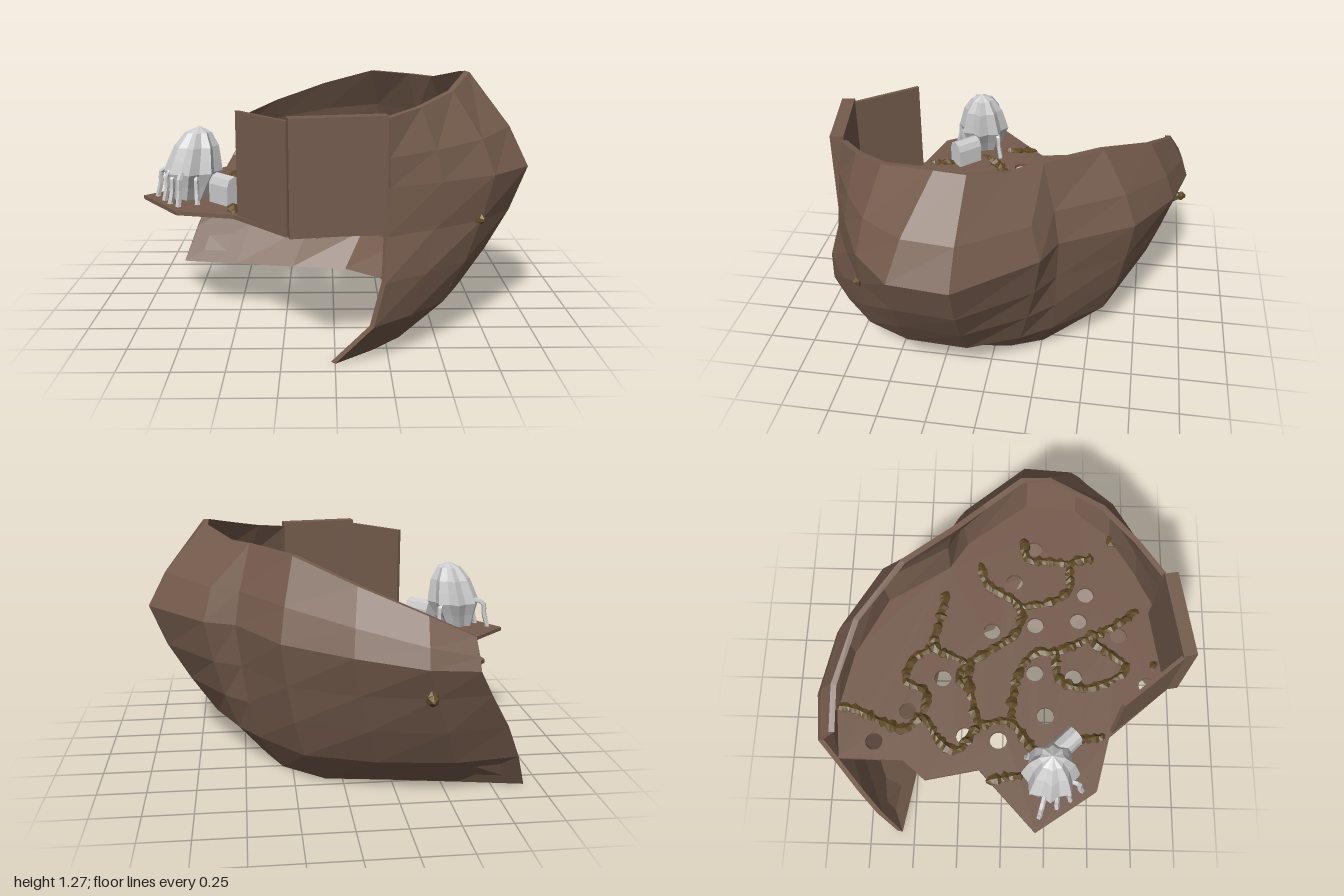
import * as THREE from 'three';

const material = (color) => new THREE.MeshStandardMaterial({ color, flatShading: true, side: THREE.DoubleSide });
const rock = material(0x755c4d), root = material(0x5e4822), grey = material(0xcccccc);

function add(parent, name, geometry, mat) {
  const mesh = new THREE.Mesh(geometry, mat);
  mesh.name = name;
  parent.add(mesh);
  return mesh;
}

// One wall rib as 7 points [x, z, y]: foot to belly to rim, with an extra sideways bulge below the belly.
function rib(foot, belly, rim, bulge = [0, 0]) {
  const spread = [0, .42, .65, .85], swell = [0, 1, .9, .3];
  const mix = (a, b, t) => a + (b - a) * t;
  const lower = spread.map((t, j) => [
    mix(foot[0], belly[0], t) + bulge[0] * swell[j], mix(foot[1], belly[1], t) + bulge[1] * swell[j], j * .2]);
  const shoulder = [mix(belly[0], rim[0], .32), mix(belly[1], rim[1], .32), mix(belly[2], rim[2], .43)];
  return [...lower, belly, shoulder, rim];
}

// Ribs from the back left end, round the right, to the front end.
const columns = [
  rib([-.92, -.6], [-.57, -.95, .74], [-.56, -.87, .88], [-.08, .05]),
  rib([-.59, -.54], [-.33, -.97, .76], [-.34, -.86, .98], [-.04, -.02]),
  rib([-.24, -.48], [0, -.89, .8], [-.03, -.75, 1.1], [0, -.04]),
  rib([.09, -.43], [.32, -.7, .82], [.25, -.52, 1.2], [.02, -.03]),
  rib([.3, -.26], [.53, -.34, .82], [.45, -.25, 1.21], [.03, -.02]),
  rib([.38, -.08], [.69, -.27, .82], [.56, -.12, 1.21], [.02, 0]),
  rib([.4, .1], [1, .1, .82], [.69, .07, 1.26]),
  rib([.39, .4], [.97, .4, .82], [.69, .22, 1.27], [0, .02]),
  rib([.32, .62], [.77, .6, .82], [.57, .5, 1.21], [.02, .04]),
  rib([.18, .77], [.5, .74, .82], [.4, .68, 1.16], [.04, .07]),
  rib([0, .92], [.25, .85, .82], [.24, .81, 1.13], [.07, .08]),
];

// Closed shell: outer rib up, inner rib down, swept along the wall.
function wallGeometry() {
  const rows = 7, loop = rows * 2, positions = [], index = [];
  columns.forEach((column, i) => {
    const before = columns[Math.max(0, i - 1)], after = columns[Math.min(columns.length - 1, i + 1)];
    const inner = column.map(([x, z, y], j) => {
      const dx = after[j][0] - before[j][0], dz = after[j][1] - before[j][1];
      const t = .03 / Math.hypot(dx, dz);
      return [x - dz * t, z + dx * t, y];
    });
    for (const [x, z, y] of [...column, ...inner.reverse()]) positions.push(x, y, z);
  });
  for (let i = 0; i < columns.length - 1; i++) {
    for (let j = 0; j < loop; j++) {
      const a = i * loop + j, b = i * loop + (j + 1) % loop;
      index.push(a, b, a + loop, b, b + loop, a + loop);
    }
  }
  const last = (columns.length - 1) * loop;
  for (let j = 0; j < rows - 1; j++) {
    const a = j, b = j + 1, c = loop - 2 - j, d = loop - 1 - j;
    index.push(a, d, b, b, d, c);
    index.push(last + a, last + b, last + d, last + b, last + c, last + d);
  }
  const g = new THREE.BufferGeometry();
  g.setAttribute('position', new THREE.Float32BufferAttribute(positions, 3));
  g.setIndex(index);
  g.computeVertexNormals();
  return g;
}

// Thin ledge with round holes.
function floorGeometry() {
  const left = [[.24, .85], [-.22, .88], [-.49, .57], [-.78, .5], [-1, .18], [-.68, -.12], [-.74, -.4], [-.64, -.52]];
  const edge = columns.map((c) => [c[3][0] * .98, c[3][1] * .98]);
  const shape = new THREE.Shape([...edge, ...left].map(([x, z]) => new THREE.Vector2(x, -z)));
  const holes = [[-.54, -.68], [-.37, -.51], [-.18, -.33], [-.5, -.2], [-.52, -.02], [.1, -.07], [.4, .05], [.61, .16],
    [-.38, .23], [-.14, .17], [.14, .17], [-.16, .38], [.17, .41], [.33, .45], [.09, .63], [-.2, .78]];
  for (const [x, z] of holes) shape.holes.push(new THREE.Path().absarc(x, -z, .046, 0, Math.PI * 2, true));
  const g = new THREE.ExtrudeGeometry(shape, { depth: .02, bevelEnabled: false, curveSegments: 10 });
  return g.rotateX(-Math.PI / 2).translate(0, .598, 0);
}

// Upright slab between two floor points.
function slab(parent, name, [x1, z1], [x2, z2], thickness, top) {
  const mesh = add(parent, name, new THREE.BoxGeometry(Math.hypot(x2 - x1, z2 - z1), top - .61, thickness), rock);
  mesh.position.set((x1 + x2) / 2, (top + .61) / 2, (z1 + z2) / 2);
  mesh.rotation.y = -Math.atan2(z2 - z1, x2 - x1);
}

let seed = 7;
const noise = () => (seed = (seed * 16807) % 2147483647) / 2147483647;

// Knobbly root: a tube whose rings swell and shrink and whose vertices are pushed in and out.
function addRoot(parent, ...points) {
  const curve = new THREE.CatmullRomCurve3(points.map(([x, z]) => new THREE.Vector3(x, .61, z)));
  const steps = Math.max(4, Math.round(curve.getLength() / .02)), sides = 6;
  const g = new THREE.TubeGeometry(curve, steps, .027, sides, false), p = g.attributes.position;
  const v = new THREE.Vector3(), c = new THREE.Vector3();
  for (let i = 0; i <= steps; i++) {
    curve.getPointAt(i / steps, c);
    const ring = i === 0 || i === steps ? .3 : .7 + noise() * .5;
    for (let j = 0; j <= sides; j++) {
      const k = i * (sides + 1) + j;
      if (j === sides) v.fromBufferAttribute(p, k - sides);
      else v.fromBufferAttribute(p, k).sub(c).multiplyScalar(ring * (.7 + noise() * .7)).add(c);
      p.setXYZ(k, v.x, v.y, v.z);
    }
  }
  add(parent, 'root', g, root);
}

// Branching roots over the floor, two of them poking through the wall.
function rootNetwork() {
  const group = new THREE.Group();
  group.name = 'roots';
  addRoot(group, [-.35, -.98], [-.36, -.82], [-.43, -.65], [-.47, -.52], [-.4, -.43], [-.52, -.34], [-.58, -.24], [-.44, -.13]);
  addRoot(group, [-.44, -.13], [-.2, -.19], [-.1, -.2], [0, -.38], [.16, -.36], [.34, -.33]);
  addRoot(group, [-.4, -.43], [-.26, -.42], [-.2, -.53], [-.08, -.5], [0, -.38]);
  addRoot(group, [-.25, -.18], [-.17, -.25], [-.1, -.2], [0, -.05], [.12, .08], [.25, .08], [.38, -.1], [.52, -.15]);
  addRoot(group, [-.44, -.13], [-.42, .04], [-.55, .15], [-.64, .24]);
  addRoot(group, [-.42, .04], [-.15, .08], [-.02, .18], [-.02, .28], [.07, .46], [.14, .6], [.25, .75]);
  addRoot(group, [-.02, .28], [-.18, .31], [-.22, .45], [-.18, .57], [-.1, .67], [-.03, .59], [.07, .46]);
  addRoot(group, [.25, .08], [.28, .25], [.36, .36], [.52, .37], [.56, .5]);
  addRoot(group, [.68, .1], [.55, .12], [.53, .25], [.52, .37]);
  addRoot(group, [-.74, -.08], [-.72, .02], [-.7, .12]);
  addRoot(group, [-.58, .3], [-.52, .4], [-.48, .55]);
  addRoot(group, [-.1, .8], [-.06, .84]);
  addRoot(group, [.64, .58], [.72, .65]);
  return group;
}

// Hooded figure with a pleated leaning cloak, clawed limbs and a small chest.
function figure() {
  const group = new THREE.Group();
  group.name = 'hoodedFigure';
  const profile = [[.09, .63], [.115, .7], [.145, .77], [.13, .83], [.11, .9], [.065, .97], [.001, 1]];
  const cloak = new THREE.LatheGeometry(profile.map(([x, y]) => new THREE.Vector2(x, y)), 16);
  const p = cloak.attributes.position;
  for (let i = 0; i < p.count; i++) {
    const fold = Math.floor(i / profile.length) % 2 ? .84 : 1.04, y = p.getY(i);
    p.setXYZ(i, p.getX(i) * fold - .745 + (y - .65) * .17, y, p.getZ(i) * fold + .25);
  }
  add(group, 'cloak', cloak, grey);
  const limbs = [[-.92, .2], [-.87, .29], [-.78, .42], [-.69, .38], [-.61, .13], [-.83, .36]];
  for (const [x, z] of limbs) {
    const at = (t, y) => new THREE.Vector3(-.73 + (x + .73) * t, y, .25 + (z - .25) * t);
    const path = new THREE.CatmullRomCurve3([at(.5, .78), at(.85, .76), at(.9, .69), at(1, .625)]);
    add(group, 'limb', new THREE.TubeGeometry(path, 8, .014, 5), grey);
    const claw = add(group, 'claw', new THREE.ConeGeometry(.015, .06, 5), grey);
    claw.position.copy(at(1, .65));
  }
  const chest = new THREE.Group();
  chest.name = 'chest';
  add(chest, 'chestBase', new THREE.BoxGeometry(.15, .1, .1), grey).position.y = .05;
  const lid = add(chest, 'chestLid', new THREE.CylinderGeometry(.05, .05, .15, 8), grey);
  lid.rotation.z = Math.PI / 2;
  lid.position.y = .1;
  chest.position.set(-.55, .615, .33);
  chest.rotation.y = -.8;
  group.add(chest);
  return group;
}

export function createModel() {
  const model = new THREE.Group();
  model.name = 'caveLedge';
  add(model, 'caveWall', wallGeometry(), rock);
  add(model, 'floor', floorGeometry(), rock);
  slab(model, 'frontPanel', [-.21, .91], [.23, .835], .07, 1.15);
  slab(model, 'sidePanel', [-.46, .58], [-.21, .88], .02, 1.13);
  model.add(rootNetwork(), figure());
  return model;
}
